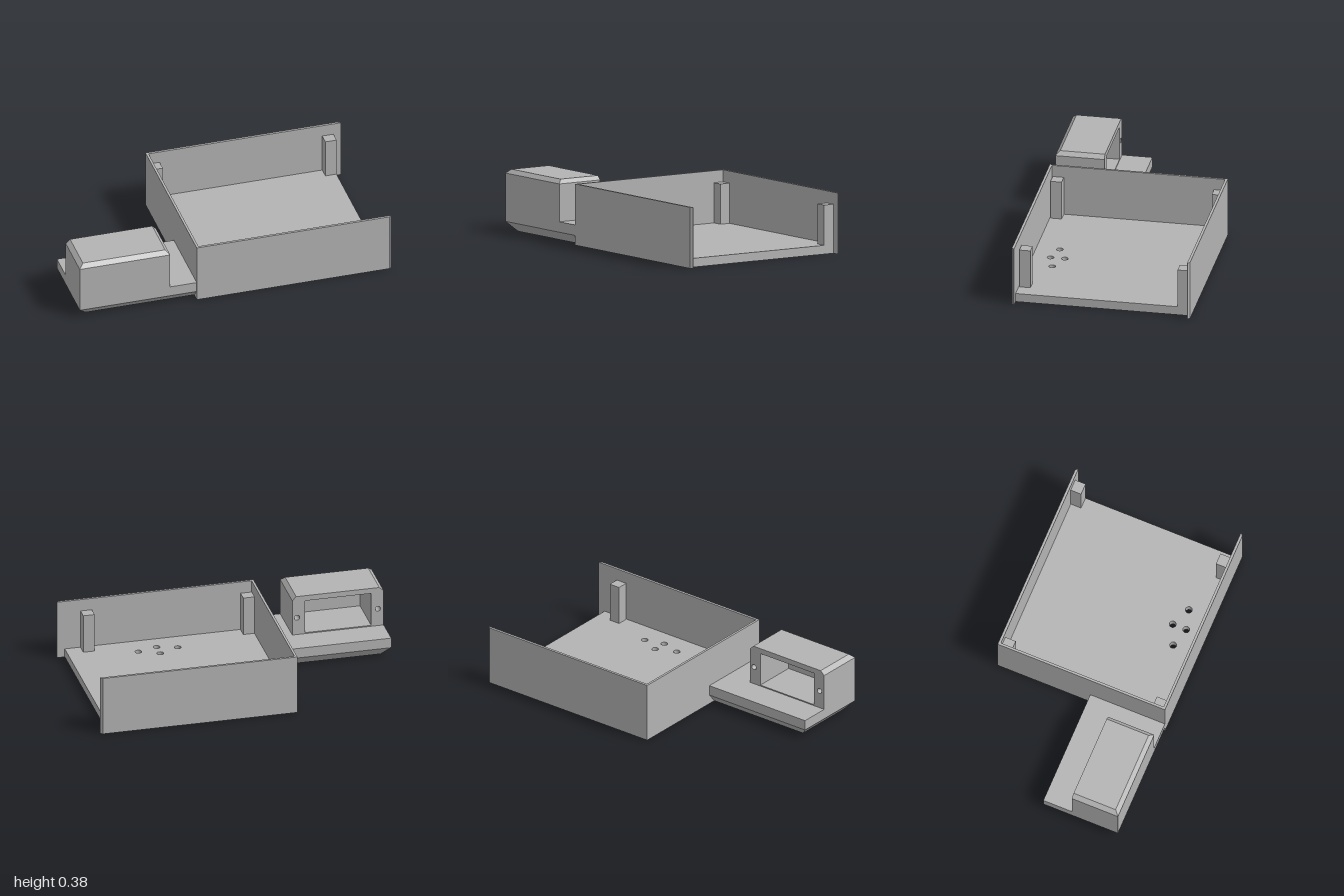
import * as THREE from 'three';
import { ConvexGeometry } from 'three/addons/geometries/ConvexGeometry.js';

const grey = new THREE.MeshStandardMaterial({ color: 0xb3b3b3 });
grey.name = 'plainGrey';

function polygon(points) {
  return new THREE.Shape(points.map(([x, y]) => new THREE.Vector2(x, y)));
}

function circleHole(x, y, r) {
  const path = new THREE.Path();
  path.absarc(x, y, r, 0, Math.PI * 2, true);
  return path;
}

// Extrudes an outline drawn in (x, z) between two heights
function slab(shape, y0, y1) {
  const g = new THREE.ExtrudeGeometry(shape, { depth: y1 - y0, bevelEnabled: false, curveSegments: 10 });
  return g.rotateX(Math.PI / 2).translate(0, y1, 0);
}

function box(x0, x1, y0, y1, z0, z1) {
  return new THREE.BoxGeometry(x1 - x0, y1 - y0, z1 - z0)
    .translate((x0 + x1) / 2, (y0 + y1) / 2, (z0 + z1) / 2);
}

function rectAt(y, x0, x1, z0, z1) {
  return [[x0, z0], [x1, z0], [x1, z1], [x0, z1]].map(([x, z]) => new THREE.Vector3(x, y, z));
}

export function createModel() {
  const model = new THREE.Group();
  model.name = 'trayWithSideHousing';
  const add = (name, geometry) => {
    const mesh = new THREE.Mesh(geometry, grey);
    mesh.name = name;
    model.add(mesh);
  };

  // Tray floor with four drilled holes
  const floor = polygon([[-0.24, -0.55], [0.95, -0.55], [0.95, 0.55], [-0.24, 0.55]]);
  for (const [x, z] of [[0.27, 0.395], [0.52, 0.395], [0.395, 0.34], [0.395, 0.43]]) {
    floor.holes.push(circleHole(x, z, 0.021));
  }
  add('trayFloor', slab(floor, 0, 0.055));

  // Thin walls on three sides, the long ones chamfered at their free ends
  for (const [name, s] of [['frontWall', 1], ['backWall', -1]]) {
    const outline = polygon([[-0.25, s * 0.558], [0.985, s * 0.558], [1, s * 0.545], [1, s * 0.542], [-0.25, s * 0.542]]);
    add(name, slab(outline, 0, 0.38));
  }
  add('sideWall', box(-0.25, -0.235, 0, 0.38, -0.545, 0.545));

  // Corner posts
  for (const [x, z] of [[-0.2, -0.508], [0.915, -0.508], [-0.2, 0.503], [0.815, 0.503]]) {
    add('post', box(x - 0.036, x + 0.036, 0.05, 0.305, z - 0.035, z + 0.035));
  }

  // Side platform with its lower edges chamfered
  add('sidePlatform', new ConvexGeometry([
    ...rectAt(0, -0.945, -0.245, 0.11, 0.5),
    ...rectAt(0.06, -1, -0.245, 0.06, 0.557),
    ...rectAt(0.125, -1, -0.245, 0.06, 0.557),
  ]));

  // Hollow housing, open to the back, with a screw hole on each side
  const section = polygon([
    [-1, 0.125], [-0.42, 0.125], [-0.42, 0.36], [-0.445, 0.385], [-0.972, 0.385], [-1, 0.36],
  ]);
  section.holes.push(
    new THREE.Path(polygon([[-0.92, 0.132], [-0.92, 0.35], [-0.5, 0.35], [-0.5, 0.132]]).getPoints()),
    circleHole(-0.45, 0.24, 0.017),
    circleHole(-0.963, 0.24, 0.017),
  );
  add('housing', new THREE.ExtrudeGeometry(section, { depth: 0.28, bevelEnabled: false, curveSegments: 10 })
    .translate(0, 0, 0.25));

  // Closed front of the housing with a chamfered top edge
  add('housingFront', new ConvexGeometry([
    ...rectAt(0.125, -1, -0.42, 0.53, 0.557),
    ...rectAt(0.36, -1, -0.42, 0.53, 0.557),
    new THREE.Vector3(-0.972, 0.385, 0.53),
    new THREE.Vector3(-0.445, 0.385, 0.53),
  ]));

  return model;
}
